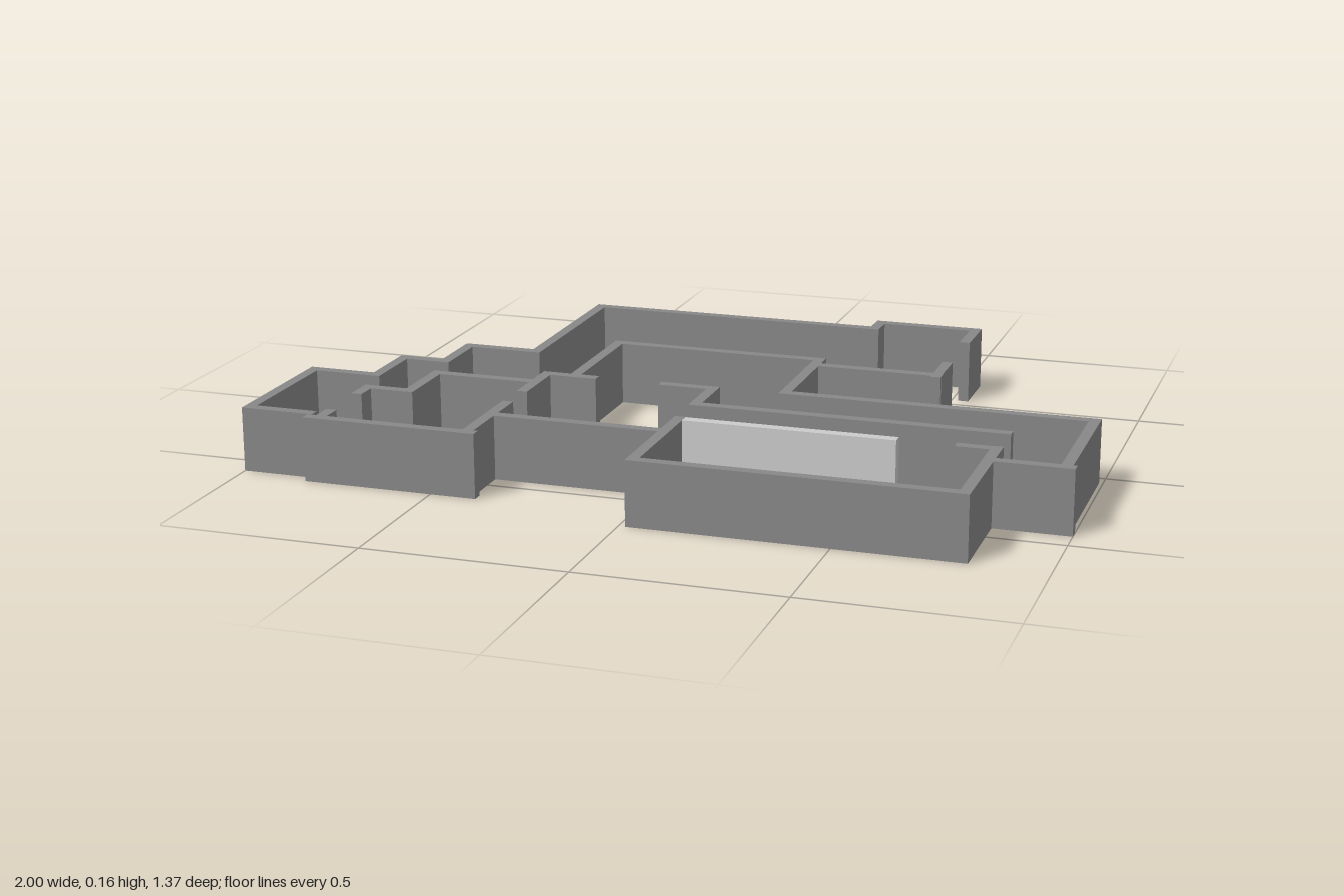
import * as THREE from 'three';

const HEIGHT = 0.16;
const HALF = 0.0135; // half the wall thickness

// Extrudes a right-angled floor-plan path of [x, z] points into a mitred wall.
function wallGeometry(path) {
  const pts = path.map(([x, z]) => new THREE.Vector2(x, -z));
  const normals = pts.slice(1).map((p, i) => {
    const d = p.clone().sub(pts[i]).normalize();
    return new THREE.Vector2(-d.y, d.x);
  });
  const offset = (side) => pts.map((p, i) => {
    const n = new THREE.Vector2();
    if (i > 0) n.add(normals[i - 1]);
    if (i < normals.length) n.add(normals[i]);
    return p.clone().addScaledVector(n, side * HALF);
  });
  const shape = new THREE.Shape([...offset(1), ...offset(-1).reverse()]);
  const geometry = new THREE.ExtrudeGeometry(shape, { depth: HEIGHT, bevelEnabled: false });
  return geometry.rotateX(-Math.PI / 2);
}

const WALLS = {
  // outer shell along the back and right side
  outerBackWall: [[0.53, -0.54], [0.53, -0.677], [0.267, -0.677], [0.267, -0.612],
    [-0.513, -0.612], [-0.513, -0.119], [-0.70, -0.119], [-0.70, 0.04], [-0.815, 0.04],
    [-0.815, 0.21], [-0.987, 0.21], [-0.987, 0.563], [-0.815, 0.563]],
  outerFrontWall: [[-0.825, 0.592], [-0.385, 0.592]],
  // small room at the right
  sideRoomStub: [[-0.788, 0.525], [-0.788, 0.579]],
  sideRoomStepWall: [[-0.788, 0.385], [-0.788, 0.317], [-0.677, 0.317], [-0.677, 0.146], [-0.423, 0.146]],
  sideRoomCornerWall: [[-0.41, 0.24], [-0.41, 0.068], [-0.275, 0.068]],
  sideRoomPartition: [[-0.41, 0.33], [-0.41, 0.579]],
  // central and left rooms
  centralWall: [[-0.337, 0.055], [-0.337, -0.266], [0.21, -0.266], [0.21, 0.05],
    [0.977, 0.05], [0.977, 0.411]],
  leftStepWall: [[1.0, 0.424], [0.813, 0.424]],
  corridorWall: [[0.223, -0.218], [0.545, -0.218]],
  corridorDoorPost: [[0.53, -0.34], [0.53, -0.195]],
  hallWall: [[-0.11, 0.068], [0.03, 0.068], [0.03, 0.21], [0.81, 0.21]],
  hallFrontWall: [[-0.397, 0.44], [0.017, 0.44]],
  // front room
  frontRoomWall: [[0.80, 0.323], [0.80, 0.67], [0.03, 0.67], [0.03, 0.323]],
  frontRoomStub: [[0.705, 0.338], [0.787, 0.338]],
};

export function createModel() {
  const group = new THREE.Group();
  group.name = 'floorPlan';
  const wallMaterial = new THREE.MeshStandardMaterial({ color: 0x888888 });
  const panelMaterial = new THREE.MeshStandardMaterial({ color: 0xcccccc });

  const addWall = (name, path, material) => {
    const mesh = new THREE.Mesh(wallGeometry(path), material);
    mesh.name = name;
    group.add(mesh);
  };

  for (const [name, path] of Object.entries(WALLS)) addWall(name, path, wallMaterial);

  // pale panel closing part of the front room
  addWall('frontRoomPanel', [[0.0435, 0.338], [0.565, 0.338]], panelMaterial);
  return group;
}
